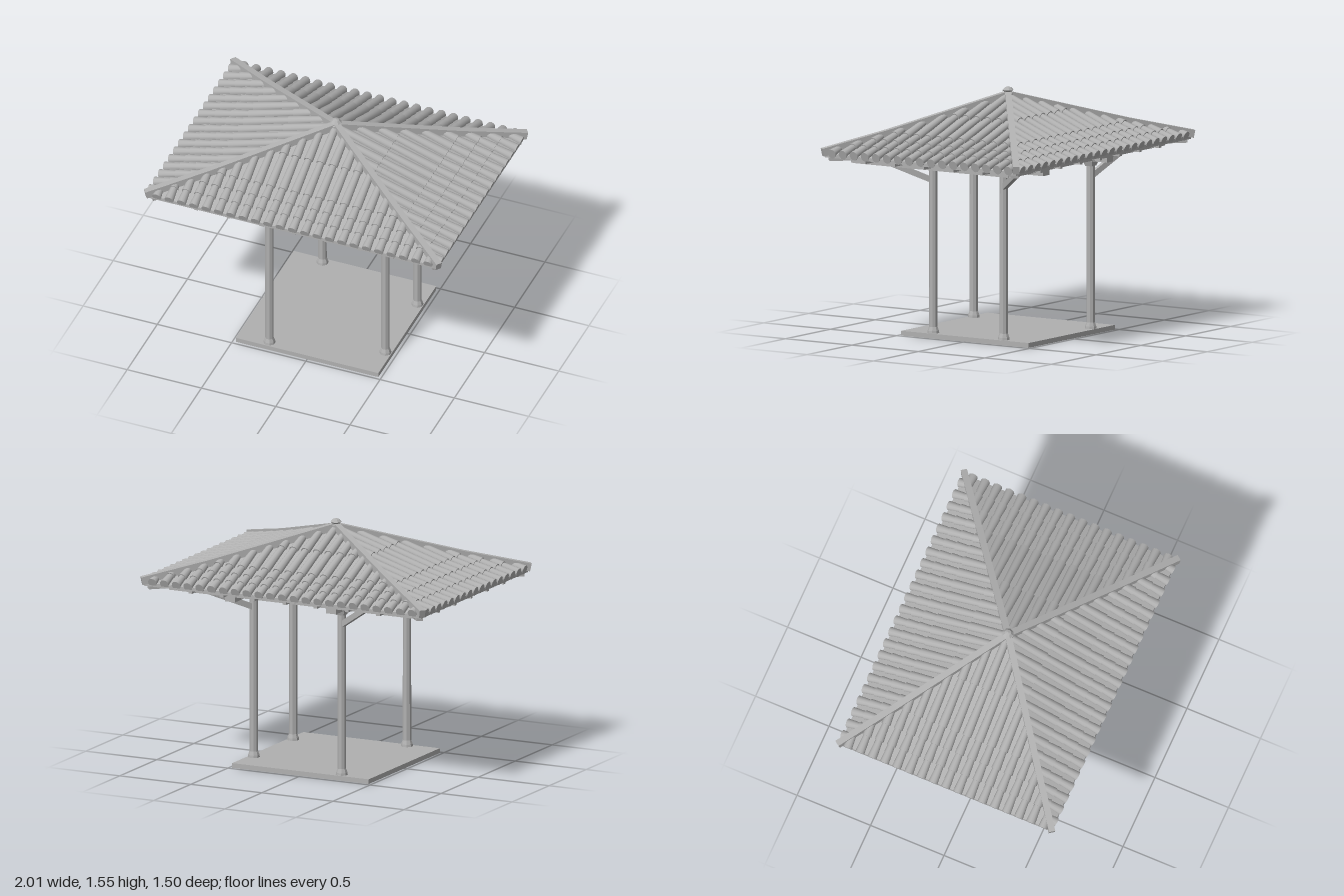
import * as THREE from 'three';
import { mergeGeometries } from 'three/addons/utils/BufferGeometryUtils.js';

const stone = new THREE.MeshStandardMaterial({ color: 0xb0b0b0, side: THREE.DoubleSide });
stone.name = 'stone grey';

// Roof half sizes and its slightly concave slope: [distance from apex 0..1, height]
const HX = 0.975, HZ = 0.72;
const SLOPE = [[0, 1.485], [0.35, 1.375], [0.66, 1.278], [1, 1.185]];

function roofY(t) {
  let i = 0;
  while (i < SLOPE.length - 2 && t > SLOPE[i + 1][0]) i++;
  const [t0, y0] = SLOPE[i], [t1, y1] = SLOPE[i + 1];
  return y0 + (y1 - y0) * (t - t0) / (t1 - t0);
}

function flat(geometry) {
  const g = geometry.index ? geometry.toNonIndexed() : geometry;
  g.computeVertexNormals();
  return g;
}

function add(parent, name, geometry, x = 0, y = 0, z = 0) {
  const mesh = new THREE.Mesh(geometry, stone);
  mesh.name = name;
  mesh.position.set(x, y, z);
  parent.add(mesh);
  return mesh;
}

// Rectangular timber running from point a to point b
function beam(parent, name, a, b, w, h) {
  const p = new THREE.Vector3(...a), q = new THREE.Vector3(...b);
  const mesh = add(parent, name, new THREE.BoxGeometry(w, h, p.distanceTo(q)));
  mesh.position.copy(p).add(q).multiplyScalar(0.5);
  mesh.lookAt(q);
  return mesh;
}

// Columns of overlapping tapered barrel tiles for one roof face, cut at the hips
function tileFace(half, run, count) {
  const courses = [0, 0.35, 0.66, 0.78, 0.89, 1.005];
  const tiles = [];
  for (let k = -count; k <= count; k++) {
    const c = k * 0.083, start = Math.abs(c) / half;
    for (let i = 0; i < courses.length - 1; i++) {
      const t0 = Math.max(courses[i], start), t1 = courses[i + 1];
      if (t1 - t0 < 0.015) continue;
      const dy = roofY(t0) - roofY(t1), dz = (t0 - t1) * run;
      const tile = new THREE.CylinderGeometry(0.023, 0.03, Math.hypot(dy, dz) + 0.006, 12);
      tile.rotateX(Math.atan2(dz, dy));
      tile.translate(c, (roofY(t0) + roofY(t1)) / 2 + 0.006, (t0 + t1) / 2 * run);
      tiles.push(tile);
    }
  }
  return mergeGeometries(tiles);
}

function buildRoof(group) {
  // Roof shell: underside, fascia and top in one four-sided profile
  const profile = [
    ...SLOPE.map(([t, y]) => new THREE.Vector2(t * Math.SQRT2, y - 0.022)),
    ...[...SLOPE].reverse().map(([t, y]) => new THREE.Vector2(t * Math.SQRT2, y)),
  ];
  const shell = new THREE.LatheGeometry(profile, 4);
  shell.rotateY(Math.PI / 4);
  shell.scale(HX, 1, HZ);
  add(group, 'roofShell', flat(shell));

  // Tiles on the four faces
  const front = tileFace(HX, HZ, 11), side = tileFace(HZ, HX, 8);
  [['frontTiles', front, 0], ['leftTiles', side, 1], ['backTiles', front, 2], ['rightTiles', side, 3]]
    .forEach(([name, geo, turn]) => { add(group, name, geo).rotation.y = turn * Math.PI / 2; });

  // Hip ridges above, hip rafters below and tails at the corners
  for (const sx of [-1, 1]) for (const sz of [-1, 1]) {
    const at = (t, dy) => [sx * t * HX, roofY(t) + dy, sz * t * HZ];
    const stops = [0, 0.35, 0.66, 1.013];
    for (let i = 0; i < 3; i++) {
      beam(group, 'hipRidge', at(stops[i], 0.014), at(stops[i + 1], 0.014), 0.04, 0.05);
      beam(group, 'hipRafter', at(stops[i], -0.03), at(Math.min(stops[i + 1], 0.95), -0.03), 0.035, 0.035);
    }
    beam(group, 'cornerTail', [sx * 0.8, 1.16, sz * 0.545], [sx * 0.955, 1.162, sz * 0.7], 0.04, 0.04);
  }

  // Finial on the apex
  const finial = [[0.001, 1.49], [0.036, 1.495], [0.036, 1.512], [0.022, 1.518], [0.036, 1.53], [0.02, 1.547], [0.001, 1.553]];
  add(group, 'finial', flat(new THREE.LatheGeometry(finial.map(p => new THREE.Vector2(...p)), 8)));
}

function buildFrame(group) {
  // Ring beam under the eaves
  for (const s of [-1, 1]) {
    add(group, 'ringBeam', new THREE.BoxGeometry(1.72, 0.035, 0.035), 0, 1.143, s * 0.585);
    add(group, 'ringBeam', new THREE.BoxGeometry(0.035, 0.035, 1.17), s * 0.85, 1.143, 0);
    // Rafter tails crossing the ring
    for (let i = -3; i <= 3; i++)
      add(group, 'rafterTail', new THREE.BoxGeometry(0.026, 0.032, 0.17), i * 0.22, 1.158, s * 0.615);
    for (let i = -2; i <= 2; i++)
      add(group, 'rafterTail', new THREE.BoxGeometry(0.17, 0.032, 0.026), s * 0.87, 1.158, i * 0.22);
  }
}

// Octagonal post with flared foot and capital
function buildPost(group, x, z) {
  const profile = [[0.001, 0.03], [0.038, 0.03], [0.036, 0.045], [0.027, 0.07], [0.026, 1.06]];
  const post = new THREE.LatheGeometry(profile.map(p => new THREE.Vector2(...p)), 8);
  post.rotateY(Math.PI / 8);
  add(group, 'post', flat(post), x, 0, z);
  const capital = new THREE.CylinderGeometry(0.052, 0.036, 0.035, 4);
  capital.rotateY(Math.PI / 4);
  add(group, 'capital', flat(capital), x, 1.073, z);
  add(group, 'capitalBlock', new THREE.BoxGeometry(0.076, 0.035, 0.074), x, 1.107, z);
}

export function createModel() {
  const group = new THREE.Group();
  group.name = 'pavilion';
  add(group, 'platform', new THREE.BoxGeometry(0.96, 0.03, 0.96), 0, 0.015, 0);

  // Each pair: post x, post z, outer end of its diagonal brace
  const pairs = [[-0.27, 0.44, -0.49, 0.53], [0.44, 0.265, 0.66, 0.53]];
  for (const [x, z, bx, bz] of pairs) {
    add(group, 'crossBeam', new THREE.BoxGeometry(0.07, 0.055, 1.17), x, 1.117, 0);
    for (const s of [-1, 1]) {
      buildPost(group, x, s * z);
      beam(group, 'brace', [x, 0.99, s * z], [bx, 1.135, s * bz], 0.028, 0.036);
    }
  }
  buildFrame(group);
  buildRoof(group);
  return group;
}
